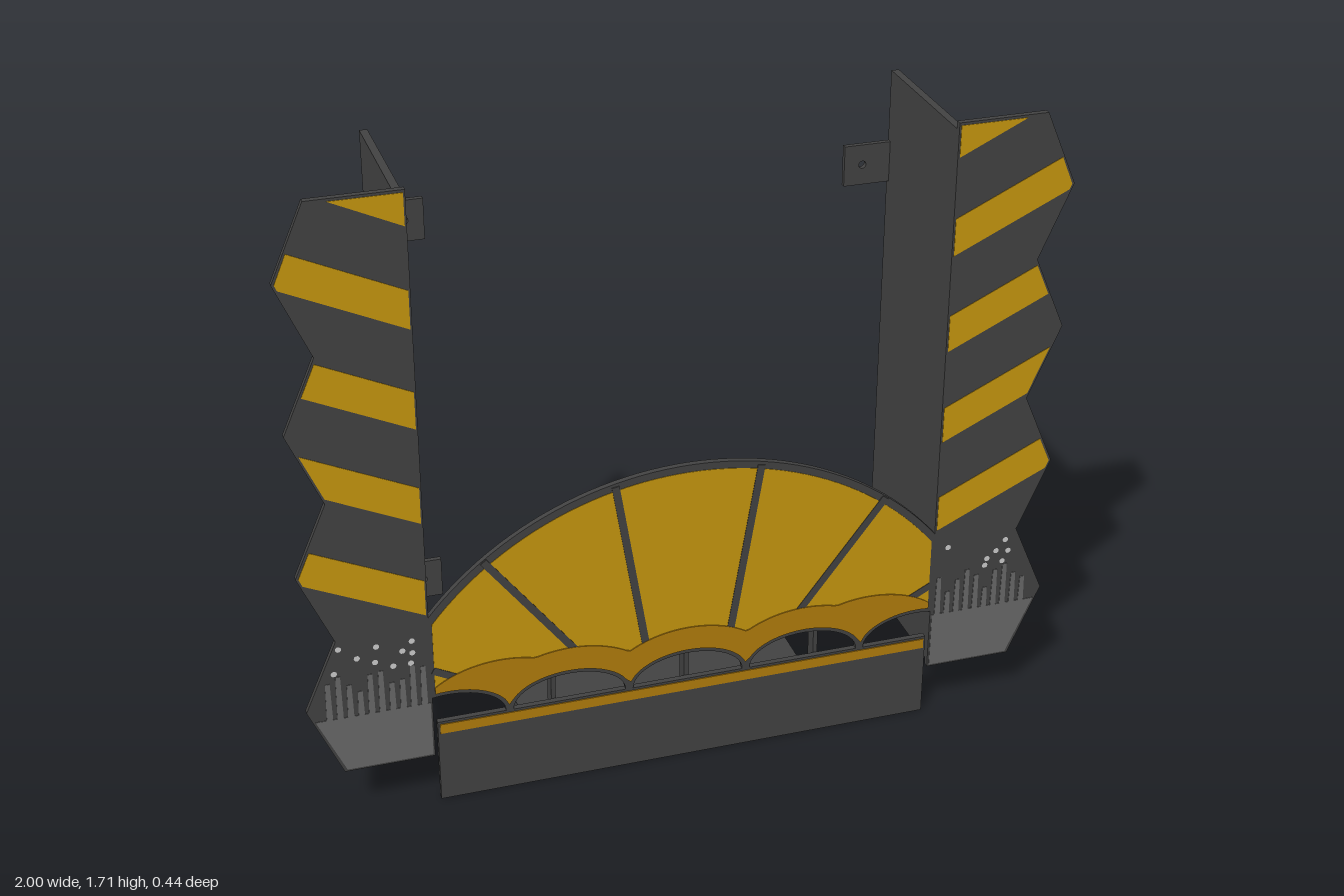
import * as THREE from 'three';

const material = (color) => new THREE.MeshStandardMaterial({ color });
const DARK = material(0x424242), YELLOW = material(0xc6960e), OCHRE = material(0xb17c0c);
const GREY = material(0x686868), PALE = material(0xc4c4c4), BLACK = material(0x1c1c1c);
const BACK = 0.2, FRONT = 0.216; // depth range of the front sheets

export function createModel() {
  const root = new THREE.Group();

  const add = (name, geometry, mat, parent = root) => {
    const mesh = new THREE.Mesh(geometry, mat);
    mesh.name = name;
    parent.add(mesh);
    return mesh;
  };
  const box = (name, x0, x1, y0, y1, z0, z1, mat = DARK, parent = root) =>
    add(name, new THREE.BoxGeometry(Math.abs(x1 - x0), y1 - y0, z1 - z0), mat, parent)
      .position.set((x0 + x1) / 2, (y0 + y1) / 2, (z0 + z1) / 2);
  const toShape = (pts, s = 1) => new THREE.Shape(pts.map(([x, y]) => new THREE.Vector2(s * x, y)));
  const sheet = (name, shape, z0, z1, mat, parent = root) => {
    const g = new THREE.ExtrudeGeometry(shape, { depth: z1 - z0, bevelEnabled: false, curveSegments: 16 });
    add(name, g.translate(0, 0, z0), mat, parent);
  };
  // thin painted layer lying on the front of a sheet
  const paint = (name, pts, s, mat, parent, level = 1) =>
    sheet(name, toShape(pts, s), FRONT, FRONT + 0.0015 * level, mat, parent);
  // points on an elliptical arc
  const arc = (cx, cy, rx, ry, a0, a1, n) => Array.from({ length: n + 1 }, (_, i) => {
    const a = a0 + (a1 - a0) * i / n;
    return [cx + rx * Math.cos(a), cy + ry * Math.sin(a)];
  });

  // ---- centre panel: base board and fan, pierced by a row of arches
  const front = new THREE.Group();
  front.name = 'centrePanel';
  root.add(front);
  const R = 0.88, HALF = 0.68, RX = 0.15, RY = 0.08, SILL = 0.24;
  const rimAngle = Math.acos(HALF / R);
  const endAngle = Math.acos((HALF - 0.64) / RX);
  const endArch = arc(0.64, SILL, RX, RY, Math.PI, endAngle, 16);
  const rightEdge = [[0.67, 0], [0.67, SILL], ...endArch];
  const leftEdge = rightEdge.map(([x, y]) => [-x, y]).reverse();
  const panel = toShape([...rightEdge, ...arc(0, 0, R, R, rimAngle, Math.PI - rimAngle, 48), ...leftEdge]);
  for (const cx of [-0.32, 0, 0.32])
    panel.holes.push(new THREE.Path(arc(cx, SILL, RX, RY, 0, Math.PI, 24).map(p => new THREE.Vector2(...p))));
  sheet('fanPanel', panel, BACK, FRONT, DARK, front);

  // yellow fan face and its dark spokes
  const r = R - 0.02, faceAngle = Math.acos(0.672 / r);
  paint('fanFace', [[-0.672, 0.335], [0.672, 0.335],
    ...arc(0, 0, r, r, faceAngle, Math.PI - faceAngle, 48)], 1, YELLOW, front);
  for (const s of [-1, 1])
    for (const [x0, y0, x1, y1] of [[0.115, 0.37, 0.192, 0.85], [0.28, 0.36, 0.535, 0.695], [0.56, 0.34, 0.675, 0.4]]) {
      const l = Math.hypot(x1 - x0, y1 - y0), nx = 0.01 * (y1 - y0) / l, ny = -0.01 * (x1 - x0) / l;
      paint('fanSpoke', [[x0 + nx, y0 + ny], [x1 + nx, y1 + ny], [x1 - nx, y1 - ny], [x0 - nx, y0 - ny]], s, DARK, front, 2);
    }

  // scalloped band above the arches
  const bump = (x, centres, rx, ry) => SILL + Math.max(0.01, ...centres.map(c =>
    ry * Math.sqrt(Math.max(0, 1 - ((x - c) / rx) ** 2))));
  const top = [], bottom = [];
  for (let i = 0; i <= 120; i++) {
    const x = -0.672 + 1.344 * i / 120;
    top.push([x, bump(x, [-0.5, -0.32, 0, 0.32, 0.5], 0.235, 0.16)]);
    bottom.push([x, bump(x, [-0.64, -0.32, 0, 0.32, 0.64], RX + 0.012, RY + 0.012)]);
  }
  paint('scallopBand', [...bottom, ...top.reverse()], 1, OCHRE, front, 3);
  box('baseStripe', -0.664, 0.664, 0.205, 0.233, FRONT, FRONT + 0.003, OCHRE, front);

  // ---- platform and upright braces behind the centre panel
  box('platform', -0.4, 0.4, 0.001, 0.07, -0.152, BACK);
  for (const x of [-0.36, 0, 0.36]) box('brace', x - 0.006, x + 0.006, 0.07, 0.62, 0.162, BACK);
  for (const x of [-0.34, -0.18, 0.18, 0.34])
    add('boltHole', new THREE.CylinderGeometry(0.01, 0.01, 0.002, 16), BLACK).position.set(x, 0.001, -0.1);

  // ---- side towers
  const Y0 = 0.14, Y1 = 1.71, STEP = (Y1 - Y0) / 8, INNER = 0.68;
  const corners = Array.from({ length: 9 }, (_, i) => [i % 2 ? 1 : 0.915, Y0 + i * STEP]);
  const edgeAt = (y) => {
    const t = (y - Y0) / STEP;
    return 0.915 + 0.085 * (1 - Math.abs(((t % 2) + 2) % 2 - 1)) - 0.007;
  };
  const SLOPE = 0.46;
  // where a slanted stripe line meets the zigzag edge or the top
  const meet = (b) => {
    let x = INNER;
    while (x < edgeAt(b + SLOPE * (x - INNER)) && b + SLOPE * (x - INNER) < Y1 - 0.007) x += 0.001;
    return [x, b + SLOPE * (x - INNER)];
  };
  const specks = [[0.91, 0.51], [0.925, 0.44], [0.865, 0.475], [0.815, 0.5], [0.82, 0.455],
    [0.775, 0.435], [0.75, 0.475], [0.725, 0.5], [0.725, 0.465], [0.73, 0.435]];
  const rightSpecks = [[0.72, 0.51], [0.885, 0.505], [0.895, 0.47], [0.835, 0.455], [0.88, 0.44], [0.83, 0.435], [0.86, 0.475]];

  for (const s of [-1, 1]) {
    const tower = new THREE.Group();
    tower.name = s > 0 ? 'leftTower' : 'rightTower';
    root.add(tower);
    sheet('zigzagPanel', toShape([[INNER, Y0], ...corners, [INNER, Y1]], s), BACK, FRONT, DARK, tower);

    // slanted warning stripes
    for (const b of [0.568, 0.832, 1.093, 1.358, 1.62]) {
      const low = meet(b), high = b > 1.6 ? [INNER + 0.005, Y1 - 0.007] : meet(b + 0.1);
      const between = corners.filter(([, y]) => y > low[1] && y < high[1]).map(([x, y]) => [x - 0.007, y]);
      const start = [INNER + 0.005, b];
      paint('stripe', b > 1.6 ? [start, low, high] : [start, low, ...between, high, [INNER + 0.005, b + 0.1]],
        s, YELLOW, tower);
    }

    // grey foot with upright blades and specks
    paint('greyFoot', [[INNER + 0.005, Y0 + 0.006], [edgeAt(Y0), Y0 + 0.006], [edgeAt(0.305), 0.305], [INNER + 0.005, 0.305]],
      s, GREY, tower);
    for (let i = 0; i < 10; i++) {
      const x = 0.7 + i * 0.027, h = 0.36 + 0.07 * Math.abs(Math.sin(i * 2.3 + s));
      paint('blade', [[x - 0.008, 0.304], [x + 0.008, 0.304], [x + 0.006, h], [x - 0.006, h]], s, GREY, tower);
    }
    for (const [x, y] of s > 0 ? rightSpecks : specks)
      add('speck', new THREE.CircleGeometry(0.008, 10), PALE, tower).position.set(s * x, y, FRONT + 0.002);

    // return wall with small ribs outside and fixing tabs at the back
    box('sideWall', s * 0.68, s * 0.7, 0.16, 1.69, -0.22, BACK, DARK, tower);
    for (let i = 0; i < 5; i++)
      box('rib', s * 0.7, s * 0.77, 0.274 + i * 0.319, 0.288 + i * 0.319, 0.17, BACK, DARK, tower);
    for (const y of [0.405, 1.445]) {
      const tab = toShape([[0.555, y - 0.055], [0.68, y - 0.055], [0.68, y + 0.055], [0.555, y + 0.055]], s);
      tab.holes.push(new THREE.Path().absarc(s * 0.605, y, 0.01, 0, Math.PI * 2));
      sheet('fixingTab', tab, -0.22, -0.206, DARK, tower);
    }
  }
  return root;
}
